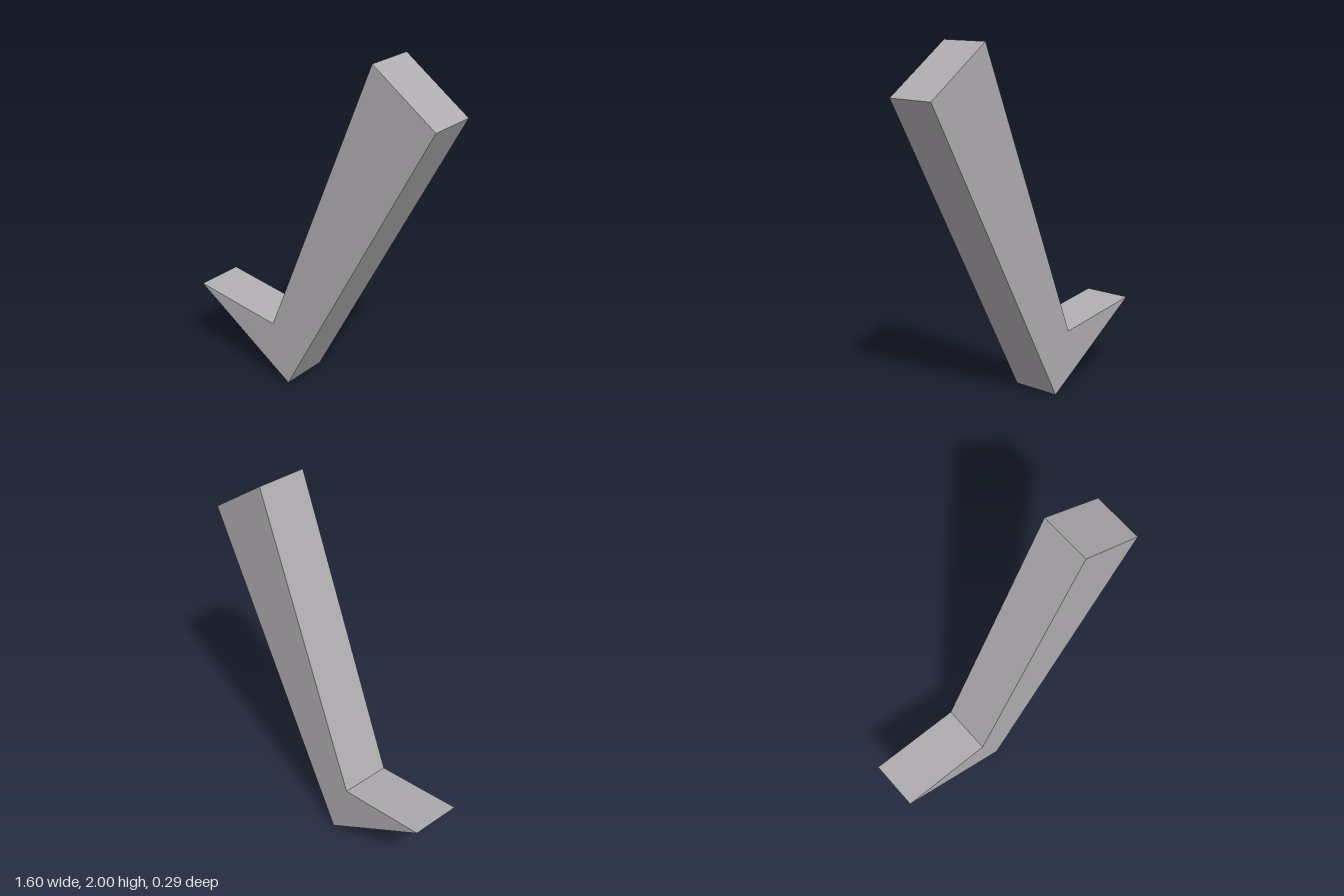
import * as THREE from 'three';

export function createModel() {
  const group = new THREE.Group();
  group.name = 'bentBracket';

  const grey = new THREE.MeshStandardMaterial({ color: 0xb0adb0 });
  grey.name = 'warm grey';

  // Side profile: heel, sloped end of the leg, ankle, pointed toe
  const profile = new THREE.Shape([
    [-0.14, 0],
    [0.8, 1.73],
    [0.42, 2],
    [-0.25, 0.35],
    [-0.8, 0.435],
  ].map(([x, y]) => new THREE.Vector2(x, y)));

  // Leg and toe are one flat-sided slab, centred in depth
  const depth = 0.29;
  const geometry = new THREE.ExtrudeGeometry(profile, { depth, bevelEnabled: false });
  geometry.translate(0, 0, -depth / 2);

  const slab = new THREE.Mesh(geometry, grey);
  slab.name = 'legAndToe';
  group.add(slab);
  return group;
}
